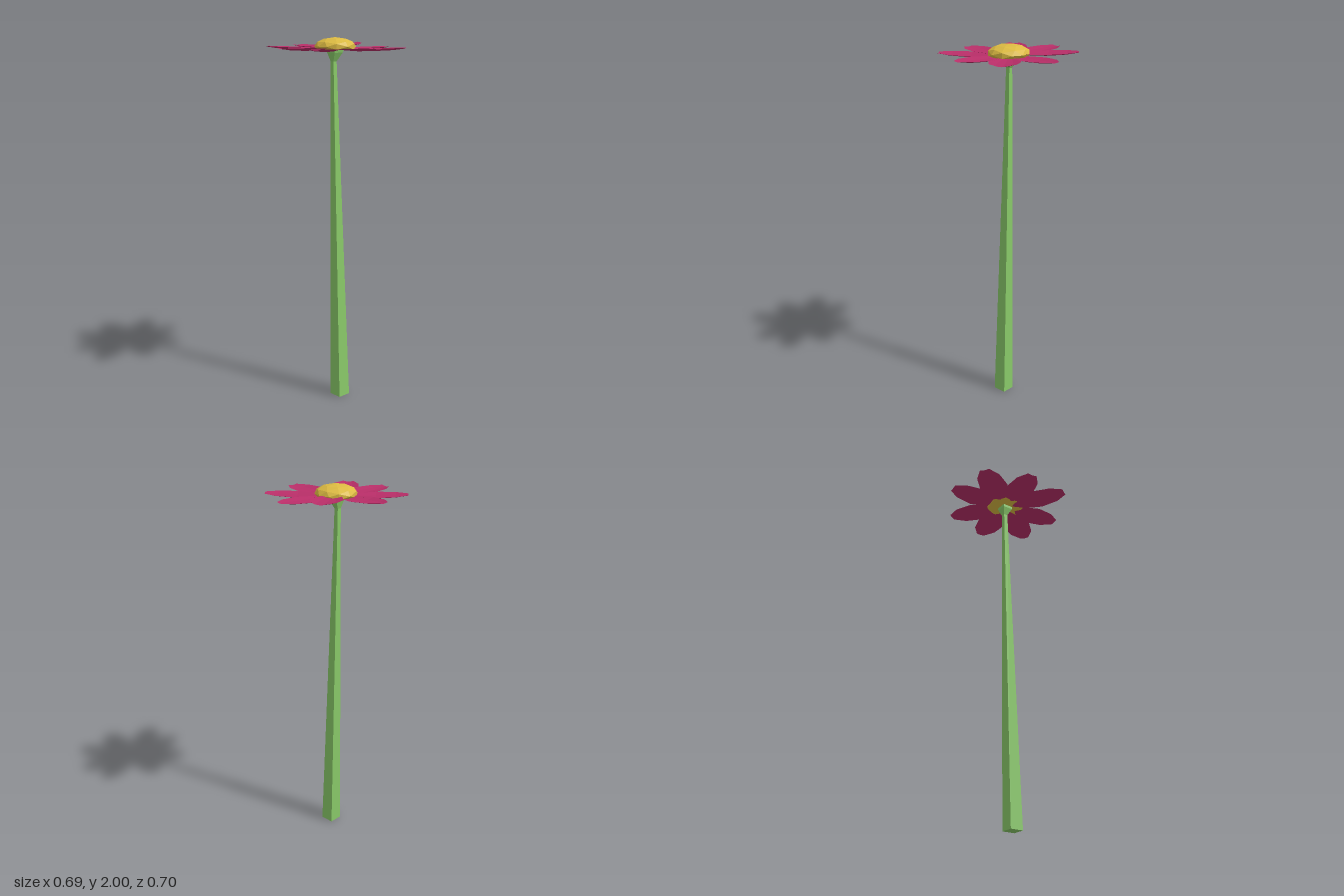
import * as THREE from 'three';

const paint = (color) => new THREE.MeshStandardMaterial({ color, flatShading: true, side: THREE.DoubleSide });

// Four-sided stem that leans and tapers, then flares into the calyx
function makeStem() {
  const rings = [ // y, centre x, centre z, radius
    [0, 0, 0.042, 0.053],
    [1.875, -0.008, -0.007, 0.016],
    [1.92, -0.003, -0.002, 0.041],
    [1.942, 0, 0, 0.044],
  ];
  const geo = new THREE.CylinderGeometry(1, 1, 3, 4, 3, false, -0.645);
  const p = geo.attributes.position;
  for (let i = 0; i < p.count; i++) {
    const [y, cx, cz, r] = rings[Math.round(p.getY(i) + 1.5)];
    p.setXYZ(i, cx + p.getX(i) * r, y, cz + p.getZ(i) * r);
  }
  geo.computeVertexNormals();
  const stem = new THREE.Mesh(geo, paint(0x88c868));
  stem.name = 'stem';
  return stem;
}

// Petal along +x: rows of (distance, half width, height), cupped across its width
function makePetalGeometry() {
  const rows = [
    [0.02, 0.015, 0.004],
    [0.10, 0.055, -0.003],
    [0.19, 0.083, -0.005],
    [0.285, 0.067, 0],
    [0.345, 0.027, 0.008],
  ];
  const geo = new THREE.PlaneGeometry(2, 4, 4, 4);
  const p = geo.attributes.position;
  for (let i = 0; i < p.count; i++) {
    const u = p.getX(i);
    const [r, w, h] = rows[Math.round(p.getY(i) + 2)];
    p.setXYZ(i, r, h + 0.16 * w * u * u, u * w);
  }
  geo.computeVertexNormals();
  return geo;
}

// Domed flower centre with a flattened underside
function makeCentre() {
  const geo = new THREE.IcosahedronGeometry(1, 1);
  const p = geo.attributes.position;
  for (let i = 0; i < p.count; i++) {
    p.setXYZ(i, p.getX(i) * 0.11, Math.max(p.getY(i) * 0.048, -0.016), p.getZ(i) * 0.113);
  }
  geo.computeVertexNormals();
  const centre = new THREE.Mesh(geo, paint(0xdcba42));
  centre.name = 'flowerCentre';
  centre.position.set(-0.003, 1.952, 0);
  return centre;
}

export function createModel() {
  const flower = new THREE.Group();
  flower.name = 'flower';
  flower.add(makeStem(), makeCentre());

  // Petals: heading in degrees (0 = +x, 90 = +z), length scale, height, upward tilt
  const petals = [
    [0, 1, 1.936, 0], [46, 1.065, 1.933, 0.005], [87, 1, 1.936, 0], [140, 1.085, 1.934, 0],
    [180, 1, 1.937, 0], [225, 1.07, 1.937, 0.01], [267.5, 1.01, 1.94, 0.015], [321, 1.035, 1.946, 0.03],
  ];
  const geo = makePetalGeometry();
  const mat = paint(0xb82e68);
  const ring = new THREE.Group();
  ring.name = 'petals';
  for (const [deg, length, y, tilt] of petals) {
    const petal = new THREE.Mesh(geo, mat);
    petal.name = 'petal';
    petal.scale.x = length;
    petal.position.y = y;
    petal.rotation.set(0, -THREE.MathUtils.degToRad(deg), tilt, 'YXZ');
    ring.add(petal);
  }
  flower.add(ring);
  return flower;
}
